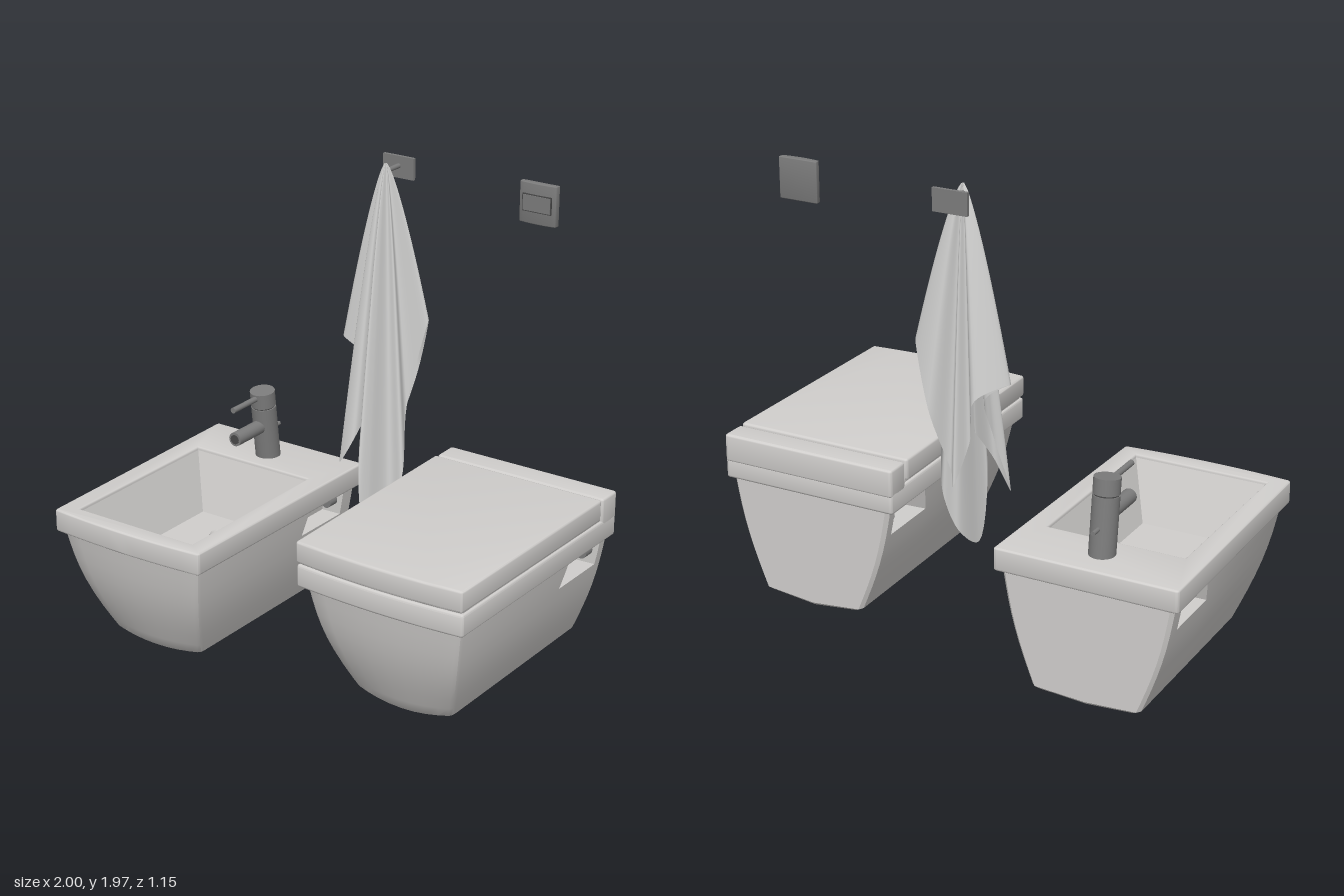
import * as THREE from 'three';
import { toCreasedNormals } from 'three/addons/utils/BufferGeometryUtils.js';

const material = (name, color, side = THREE.FrontSide) => {
  const m = new THREE.MeshStandardMaterial({ color, side });
  m.name = name;
  return m;
};

function add(parent, name, geometry, mat, x = 0, y = 0, z = 0) {
  const mesh = new THREE.Mesh(geometry, mat);
  mesh.name = name;
  mesh.position.set(x, y, z);
  parent.add(mesh);
  return mesh;
}

// Footprint with rounded corners and a bowed front; shape y is -z
function outline(backHalf, frontHalf, back, front, bow, r = 0.015) {
  const s = new THREE.Shape();
  const corner = front - bow;
  s.moveTo(-frontHalf + r, -corner);
  s.quadraticCurveTo(0, -front - bow, frontHalf - r, -corner);
  s.quadraticCurveTo(frontHalf, -corner, frontHalf, -corner + r);
  s.lineTo(backHalf, -back - r);
  s.quadraticCurveTo(backHalf, -back, backHalf - r, -back);
  s.lineTo(-backHalf + r, -back);
  s.quadraticCurveTo(-backHalf, -back, -backHalf, -back - r);
  s.lineTo(-frontHalf, -corner + r);
  s.quadraticCurveTo(-frontHalf, -corner, -frontHalf + r, -corner);
  return s;
}

function rectangle(half, back, front, Type = THREE.Shape) {
  return new Type([[-half, -front], [half, -front], [half, -back], [-half, -back]]
    .map(([x, y]) => new THREE.Vector2(x, y)));
}

// Horizontal slab with softened edges between two heights
function slab(shape, y0, y1, bevel = 0.01) {
  const g = new THREE.ExtrudeGeometry(shape, {
    depth: y1 - y0 - 2 * bevel, bevelThickness: bevel, bevelSize: bevel,
    bevelOffset: -bevel, bevelSegments: 3, curveSegments: 10,
  });
  g.rotateX(-Math.PI / 2).translate(0, y0 + bevel, 0);
  return toCreasedNormals(g, 0.6);
}

// Skin over rings of equal point count, listed from bottom to top
function loft(rings, capBottom = false) {
  const pos = [];
  const tri = (a, b, c) => {
    const area = b.clone().sub(a).cross(c.clone().sub(a)).length();
    if (area > 1e-8) for (const p of [a, b, c]) pos.push(p.x, p.y, p.z);
  };
  const n = rings[0].length;
  for (let k = 0; k + 1 < rings.length; k++) {
    for (let i = 0; i < n; i++) {
      const j = (i + 1) % n, lo = rings[k], hi = rings[k + 1];
      tri(lo[i], lo[j], hi[j]);
      tri(lo[i], hi[j], hi[i]);
    }
  }
  if (capBottom) {
    const c = new THREE.Vector3(0, rings[0][0].y, 0);
    for (let i = 0; i < n; i++) tri(c, rings[0][(i + 1) % n], rings[0][i]);
  }
  const g = new THREE.BufferGeometry();
  g.setAttribute('position', new THREE.Float32BufferAttribute(pos, 3));
  return toCreasedNormals(g, 0.55);
}

// Tapered pedestal with a pocket cut under the rim on both sides
function pedestal({ y0, y1, w0, w1, f0, f1, back, lift }) {
  const floorT = (y1 - 0.13 - y0) / (y1 - y0);
  const ring = (t, depth, inset = 0) => {
    const swell = Math.sin(Math.PI * t) * 0.018;
    const w = THREE.MathUtils.lerp(w0, w1, t) + swell - inset;
    const f = THREE.MathUtils.lerp(f0, f1, t) + swell * 1.5 - inset;
    const y = y0 + (y1 - y0) * t;
    const wf = w * 0.96, b = back + inset, bow = 0.025;
    const width = z => THREE.MathUtils.lerp(w, wf, (z - b) / (f - b));
    const notch = -0.21 - 0.04 * Math.max(0, (t - floorT) / (1 - floorT));
    const half = [0, 0.25, 0.5, 0.75, 0.94].map(u => [wf * u, f - bow * u * u]);
    half.push([wf * 0.985, f - bow - 0.006], [wf, f - bow - 0.02],
      [width(notch), notch], [width(notch) - depth, notch],
      [width(-0.48) - depth, -0.48], [width(-0.48), -0.48],
      [w, b + 0.015], [w - 0.015, b], [0, b]);
    const mirrored = half.slice(1, -1).reverse().map(([x, z]) => [-x, z]);
    return [...half, ...mirrored].map(([x, z]) =>
      new THREE.Vector3(x, y + lift * (1 - t) * (x / w) ** 2, z));
  };
  const rings = [ring(0, 0, 0.012), ring(0.025, 0)];
  for (let i = 1; i <= 6; i++) rings.push(ring(floorT * i / 6, 0));
  rings.push(ring(floorT, 0.09), ring((1 + floorT) / 2, 0.09), ring(1, 0.09));
  return loft(rings, true);
}

const rod = (r, length) => new THREE.CylinderGeometry(r, r, length, 24).rotateX(Math.PI / 2);

function addBolts(parent, y, mat) {
  for (const side of [-1, 1]) add(parent, 'mountingBolt', rod(0.024, 0.05), mat, side * 0.3, y, -0.455);
}

function makeBidet(ceramic, metal, dark) {
  const g = new THREE.Group();
  g.name = 'bidet';
  g.position.x = -0.615;
  add(g, 'bidetBody', pedestal({
    y0: 0.005, y1: 0.5, w0: 0.225, w1: 0.36, f0: 0.355, f1: 0.525, back: -0.56, lift: 0.015,
  }), ceramic);
  const rim = outline(0.384, 0.367, -0.58, 0.54, 0.016);
  rim.holes.push(rectangle(0.288, -0.315, 0.46, THREE.Path));
  add(g, 'bidetRim', slab(rim, 0.49, 0.585, 0.008), ceramic);

  // Basin walls, floor and drain
  const inner = (h, b, f, y) => [[-h, f], [-h, b], [h, b], [h, f]].map(([x, z]) => new THREE.Vector3(x, y, z));
  add(g, 'basinWalls', loft([inner(0.21, -0.24, 0.37, 0.33), inner(0.29, -0.317, 0.462, 0.577)]), ceramic);
  const floor = rectangle(0.21, -0.24, 0.37);
  floor.holes.push(new THREE.Path().absarc(0, 0.105, 0.055, 0, Math.PI * 2, true));
  add(g, 'basinFloor', new THREE.ShapeGeometry(floor, 32).rotateX(-Math.PI / 2), ceramic, 0, 0.33, 0);
  const bowl = [[0.057, 0.001], [0.05, -0.012], [0.035, -0.03], [0.015, -0.04], [0, -0.042]];
  add(g, 'drain', new THREE.LatheGeometry(bowl.map(p => new THREE.Vector2(...p)), 32), ceramic, 0, 0.33, -0.105);
  addBolts(g, 0.435, metal);

  // Mixer tap
  const tap = new THREE.Group();
  tap.name = 'tap';
  tap.position.set(0, 0.58, -0.43);
  g.add(tap);
  const column = new THREE.Group();
  column.name = 'tapColumn';
  column.rotation.x = 0.12;
  tap.add(column);
  add(column, 'tapBody', new THREE.CylinderGeometry(0.053, 0.053, 0.24, 32), metal, 0, 0.118, 0);
  add(column, 'tapNeck', new THREE.CylinderGeometry(0.048, 0.048, 0.02, 32), dark, 0, 0.24, 0);
  add(column, 'tapKnob', new THREE.CylinderGeometry(0.053, 0.053, 0.065, 32), metal, 0, 0.277, 0);
  add(tap, 'spout', rod(0.03, 0.21), metal, 0, 0.15, 0.125);
  add(tap, 'spoutOutlet', rod(0.02, 0.004), dark, 0, 0.15, 0.231);
  add(tap, 'lever', rod(0.012, 0.2), metal, 0, 0.283, 0.14);
  add(tap, 'plugRod', rod(0.009, 0.05), metal, 0, 0.12, -0.055);
  return g;
}

function makeToilet(ceramic, metal) {
  const g = new THREE.Group();
  g.name = 'toilet';
  g.position.x = 0.612;
  add(g, 'toiletBody', pedestal({
    y0: 0.115, y1: 0.605, w0: 0.222, w1: 0.36, f0: 0.385, f1: 0.545, back: -0.535, lift: 0.025,
  }), ceramic);
  add(g, 'toiletRim', slab(outline(0.384, 0.369, -0.548, 0.57, 0.018), 0.6, 0.692), ceramic);
  add(g, 'seatGap', slab(outline(0.372, 0.358, -0.46, 0.557, 0.018), 0.685, 0.71, 0.002), ceramic);
  add(g, 'lid', slab(outline(0.384, 0.369, -0.43, 0.575, 0.018), 0.7, 0.79), ceramic);
  add(g, 'backLedge', slab(outline(0.384, 0.383, -0.55, -0.442, 0), 0.67, 0.786), ceramic);
  // Trap bulge under the body
  const trap = [[0, 0.008], [0.25, 0.014], [0.5, 0.036], [0.72, 0.07], [0.9, 0.105], [1.05, 0.15]];
  add(g, 'trap', new THREE.LatheGeometry(trap.map(p => new THREE.Vector2(...p)), 40)
    .scale(0.105, 1, 0.185), ceramic, 0, 0, -0.005);
  addBolts(g, 0.54, metal);
  return g;
}

// Cloth hung from one point, spreading into folds along a wavy hem
function towelGeometry() {
  const hem = new THREE.CatmullRomCurve3([
    [-0.24, 1.2, -0.45], [-0.13, 1.12, -0.45], [-0.13, 0.95, -0.39], [-0.168, 0.7, -0.32],
    [-0.095, 0.82, -0.32], [-0.07, 0.97, -0.43], [-0.045, 0.85, -0.29], [-0.002, 0.43, -0.275],
    [0.025, 0.52, -0.39], [0.085, 0.66, -0.4], [0.06, 0.95, -0.47], [0.14, 1.33, -0.5],
    [0.06, 1.08, -0.55], [0.0, 0.8, -0.48], [-0.04, 0.78, -0.545], [-0.08, 0.95, -0.48], [-0.14, 1.15, -0.55],
  ].map(p => new THREE.Vector3(...p)), true);
  const cols = 136, rows = 24, pos = [], index = [];
  for (let r = 0; r <= rows; r++) {
    const s = r / rows, spread = 0.03 + 0.97 * s ** 0.85;
    for (let c = 0; c < cols; c++) {
      const p = hem.getPoint(c / cols);
      pos.push(-0.05 + (p.x + 0.05) * spread, 1.955 + (p.y - 1.955) * s ** 1.1, -0.465 + (p.z + 0.465) * spread);
      if (r === rows) continue;
      const a = r * cols + c, b = r * cols + (c + 1) % cols;
      index.push(a, a + cols, b, b, a + cols, b + cols);
    }
  }
  const g = new THREE.BufferGeometry();
  g.setAttribute('position', new THREE.Float32BufferAttribute(pos, 3));
  g.setIndex(index);
  g.computeVertexNormals();
  return g;
}

export function createModel() {
  const ceramic = material('ceramic', 0xd0cecc);
  const cloth = material('cloth', 0xd2d2d1, THREE.DoubleSide);
  const metal = material('metal', 0x7c7c7c);
  const dark = material('darkMetal', 0x484848);

  const model = new THREE.Group();
  model.name = 'bathroomSet';
  model.add(makeBidet(ceramic, metal, dark), makeToilet(ceramic, metal));

  // Towel on its wall hook
  add(model, 'towel', towelGeometry(), cloth);
  add(model, 'hookPlate', new THREE.BoxGeometry(0.145, 0.09, 0.014), metal, -0.057, 1.915, -0.57);
  add(model, 'hookArm', rod(0.01, 0.1), metal, -0.055, 1.92, -0.515);

  // Flush plate with its button
  const flush = new THREE.Group();
  flush.name = 'flushPlate';
  flush.position.x = 0.608;
  model.add(flush);
  add(flush, 'plate', slab(outline(0.082, 0.08, -0.548, -0.518, 0.006, 0.003), 1.81, 1.972, 0.003), metal);
  add(flush, 'buttonGap', new THREE.BoxGeometry(0.128, 0.07, 0.006), dark, 0, 1.893, -0.518);
  add(flush, 'button', new THREE.BoxGeometry(0.12, 0.062, 0.008), metal, 0, 1.893, -0.517);
  return model;
}
